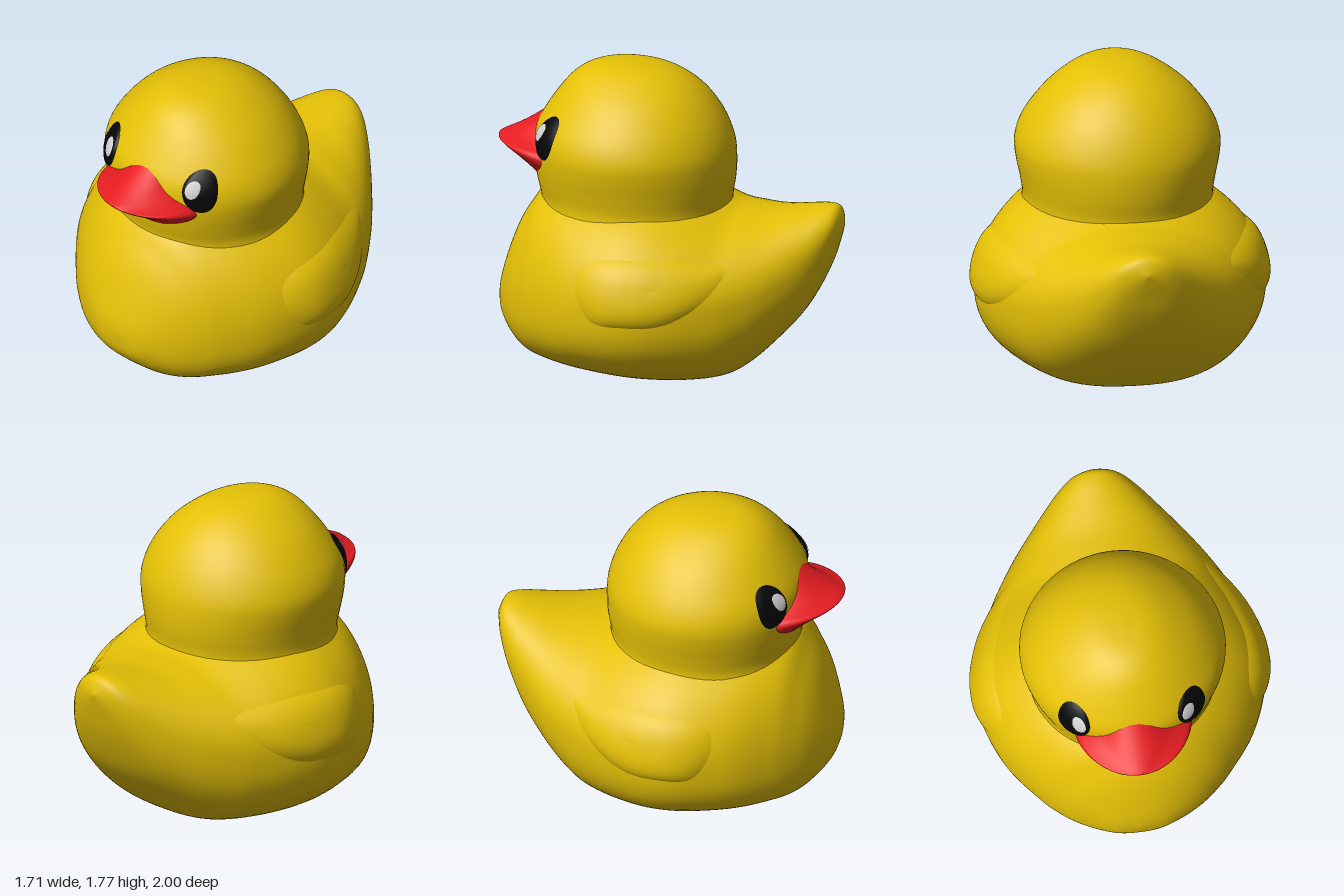
import * as THREE from 'three';
import { mergeVertices } from 'three/addons/utils/BufferGeometryUtils.js';

// Smooth lookup in a table of rows; t runs from 0 to 1 over the rows
function sample(rows, t) {
  const f = Math.min(Math.max(t, 0), 1) * (rows.length - 1);
  const i = Math.min(Math.floor(f), rows.length - 2), k = f - i;
  const a = rows[Math.max(i - 1, 0)], b = rows[i], c = rows[i + 1], d = rows[Math.min(i + 2, rows.length - 1)];
  return b.map((_, j) => 0.5 * (2 * b[j] + (c[j] - a[j]) * k
    + (2 * a[j] - 5 * b[j] + 4 * c[j] - d[j]) * k * k
    + (3 * b[j] - a[j] - 3 * c[j] + d[j]) * k * k * k));
}

// Row whose first column equals the given value (first column is monotone)
function rowAt(rows, value) {
  const rising = rows[rows.length - 1][0] > rows[0][0];
  let lo = 0, hi = 1;
  for (let n = 0; n < 30; n++) {
    const m = (lo + hi) / 2;
    if ((sample(rows, m)[0] < value) === rising) lo = m; else hi = m;
  }
  return sample(rows, lo);
}

// Smooth surface from a point function of (u, v)
function surface(nu, nv, fn) {
  const pos = [], index = [];
  for (let i = 0; i <= nu; i++) for (let j = 0; j <= nv; j++) pos.push(...fn(i / nu, j / nv));
  for (let i = 0; i < nu; i++) for (let j = 0; j < nv; j++) {
    const a = i * (nv + 1) + j, b = a + nv + 1;
    index.push(a, b, a + 1, b, b + 1, a + 1);
  }
  let geo = new THREE.BufferGeometry();
  geo.setAttribute('position', new THREE.Float32BufferAttribute(pos, 3));
  geo.setIndex(index);
  geo = mergeVertices(geo, 1e-5);
  geo.computeVertexNormals();
  return geo;
}

const TAU = Math.PI * 2;
const spow = (v, p) => Math.sign(v) * Math.pow(Math.abs(v), p);
const closedCurve = (pts) => new THREE.CatmullRomCurve3(pts.map(([x, y]) => new THREE.Vector3(x, y, 0)), true, 'centripetal');

// Body sections from breast to tail: z, top, bottom, half width, height of widest point
const BODY = [
  [0.985, 0.40, 0.40, 0, 0.40], [0.97, 0.50, 0.28, 0.14, 0.39], [0.93, 0.64, 0.205, 0.245, 0.40],
  [0.87, 0.80, 0.14, 0.36, 0.41], [0.80, 0.92, 0.085, 0.455, 0.42], [0.70, 1.045, 0.05, 0.56, 0.44],
  [0.50, 1.11, 0.02, 0.715, 0.47], [0.25, 1.13, -0.005, 0.812, 0.50], [0.05, 1.12, -0.015, 0.825, 0.50],
  [-0.15, 1.06, -0.015, 0.775, 0.51], [-0.35, 0.98, 0.01, 0.685, 0.52], [-0.48, 0.965, 0.075, 0.61, 0.54],
  [-0.62, 0.963, 0.20, 0.51, 0.58], [-0.78, 0.985, 0.38, 0.365, 0.67], [-0.90, 1.0, 0.60, 0.235, 0.79],
  [-0.965, 0.985, 0.78, 0.13, 0.88], [-1.0, 0.90, 0.90, 0, 0.90],
];
const LOWER = 2.5; // squareness of the lower half of each section

// Head layers from the neck up: y, half width, front z, back z
const HEAD = [
  [0.84, 0.56, 0.76, -0.34], [0.92, 0.55, 0.75, -0.34], [1.0, 0.54, 0.748, -0.34],
  [1.1, 0.555, 0.77, -0.355], [1.2, 0.575, 0.785, -0.36], [1.3, 0.583, 0.787, -0.352],
  [1.4, 0.555, 0.77, -0.322], [1.5, 0.495, 0.715, -0.272], [1.6, 0.41, 0.645, -0.197],
  [1.68, 0.31, 0.575, -0.105], [1.735, 0.215, 0.495, 0], [1.765, 0.12, 0.40, 0.13],
  [1.775, 0, 0.27, 0.27],
];

// Side of the body at (z, y), and front of the head at (x, y)
function bodyX(z, y) {
  const [, top, bot, w, mid] = rowAt(BODY, z);
  const p = y > mid ? 2 : LOWER;
  const h = Math.min(Math.abs(y - mid) / (y > mid ? top - mid : mid - bot), 1);
  return w * Math.pow(1 - Math.pow(h, p), 1 / p);
}
function headZ(x, y) {
  const [, w, zf, zb] = rowAt(HEAD, y);
  return (zf + zb) / 2 + (zf - zb) / 2 * Math.sqrt(Math.max(0, 1 - (x / w) ** 2));
}

function bodyGeometry() {
  return surface(80, 72, (u, v) => {
    const [z, top, bot, w, mid] = sample(BODY, u);
    const c = Math.cos(v * TAU), s = Math.sin(v * TAU), e = s > 0 ? 1 : 2 / LOWER;
    const y = mid + (s > 0 ? top - mid : mid - bot) * spow(s, e);
    return [Math.max(w, 0) * spow(c, e), Math.max(y, 0), z];
  });
}

function headGeometry() {
  return surface(60, 64, (u, v) => {
    const [y, w, zf, zb] = sample(HEAD, u);
    return [Math.max(w, 0) * Math.cos(v * TAU), y, (zf + zb) / 2 + (zf - zb) / 2 * Math.sin(v * TAU)];
  });
}

// Wing: a softly raised leaf that follows the side of the body
function wingGeometry(side) {
  const outline = closedCurve([[0.40, 0.62], [0.38, 0.74], [0.28, 0.795], [0, 0.815], [-0.2, 0.80], [-0.44, 0.745],
    [-0.43, 0.70], [-0.3, 0.55], [-0.12, 0.455], [0.1, 0.44], [0.3, 0.46]]);
  return surface(16, 64, (u, v) => {
    const p = outline.getPoint(side > 0 ? 1 - v : v), r = Math.sqrt(u);
    const z = THREE.MathUtils.lerp(0.02, p.x, r), y = THREE.MathUtils.lerp(0.64, p.y, r);
    return [side * (bodyX(z, y) - 0.003 + 0.03 * (1 - r ** 5)), y, z];
  });
}

// Tilted oval that bulges from the front of the head
function eyeGeometry(side, cx, cy, rx, ry, tilt, lift, bulge) {
  return surface(10, 40, (u, v) => {
    const a = side * v * TAU;
    const y = cy + u * ry * Math.sin(a);
    const x = cx + u * rx * Math.cos(a) - tilt * (y - cy);
    return [side * x, y, headZ(x, y) + lift + bulge * Math.sqrt(1 - u * u)];
  });
}

// Bill: tapers from its outline on the face to a rounded tip
function billGeometry() {
  const half = [[0.13, 1.113], [0.23, 1.148], [0.30, 1.188], [0.332, 1.23], [0.318, 1.268], [0.27, 1.295],
    [0.18, 1.345], [0.09, 1.42], [0.035, 1.447]];
  const mirrored = half.map(([x, y]) => [-x, y]).reverse();
  const outline = closedCurve([[0, 1.10], ...half, [0, 1.452], ...mirrored]);
  return surface(28, 72, (u, v) => {
    const p = outline.getPoint(1 - v);
    const s = Math.sin(u * Math.PI / 2);
    const base = headZ(p.x, p.y) - 0.005;
    const g = 0.78 * Math.pow(1 - s, 1.6) + 0.22 * Math.sqrt(1 - s * s);
    return [p.x * Math.sqrt(Math.max(0, 1 - Math.pow(s, 1.6))), 1.3 + (p.y - 1.3) * g, base + (1 - base) * s];
  });
}

export function createModel() {
  const model = new THREE.Group();
  model.name = 'bathDuck';
  const material = (name, color) => {
    const m = new THREE.MeshStandardMaterial({ color });
    m.name = name;
    return m;
  };
  const yellow = material('yellow', 0xe4c006);
  const red = material('red', 0xe61c20);
  const black = material('black', 0x060606);
  const white = material('white', 0xd2d2d2);
  const add = (name, geometry, mat) => {
    const mesh = new THREE.Mesh(geometry, mat);
    mesh.name = name;
    model.add(mesh);
  };

  add('body', bodyGeometry(), yellow);
  add('head', headGeometry(), yellow);
  add('bill', billGeometry(), red);

  for (const side of [1, -1]) {
    const label = side > 0 ? 'left' : 'right';
    add(label + 'Wing', wingGeometry(side), yellow);
    add(label + 'Eye', eyeGeometry(side, 0.335, 1.38, 0.081, 0.125, 0.15, 0.002, 0.026), black);
    add(label + 'EyeHighlight', eyeGeometry(side, 0.313, 1.403, 0.037, 0.052, 0.08, 0.025, 0.006), white);
  }
  return model;
}
